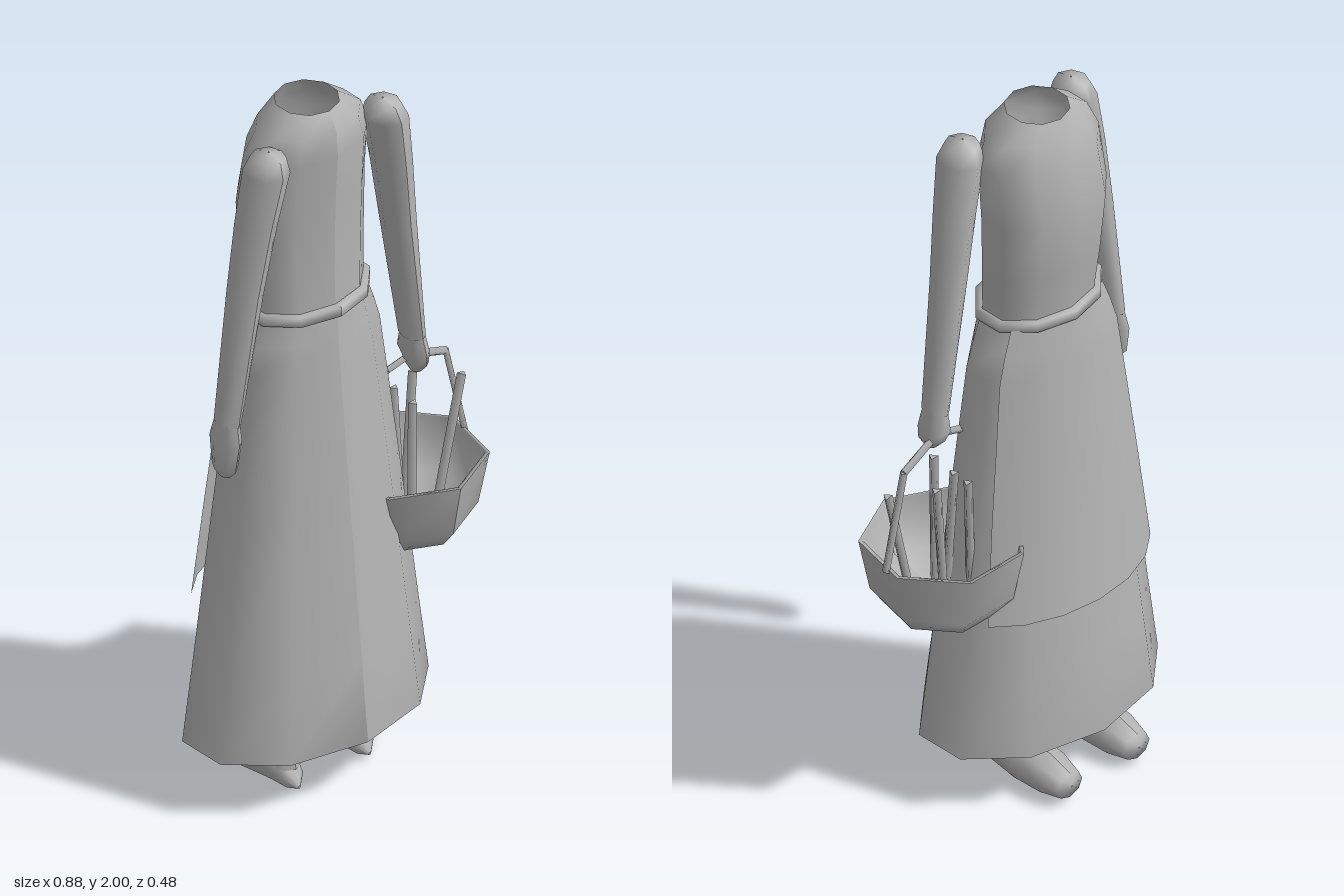
import * as THREE from 'three';

export function createModel() {
  const model = new THREE.Group();
  const grey = new THREE.MeshStandardMaterial({ color: 0xb4b4b4, side: THREE.DoubleSide });
  grey.name = 'plain grey';
  const CX = -0.09; // middle of the body

  function add(name, geometry, parent = model) {
    const mesh = new THREE.Mesh(geometry, grey);
    mesh.name = name;
    parent.add(mesh);
    return mesh;
  }

  // Smooth skin over elliptical rings [y, centre x, radius x, centre z, radius z], bottom to top
  function loft(rings, sides, from = 0, to = Math.PI * 2) {
    const pos = [], index = [], w = sides + 1;
    rings.forEach(([y, cx, rx, cz, rz], j) => {
      for (let i = 0; i <= sides; i++) {
        const t = from + (to - from) * i / sides;
        pos.push(cx + rx * Math.sin(t), y, cz + rz * Math.cos(t));
        if (i < sides && j < rings.length - 1) {
          const a = j * w + i, b = a + 1, c = a + w, d = c + 1;
          index.push(a, b, d, a, d, c);
        }
      }
    });
    const g = new THREE.BufferGeometry();
    g.setAttribute('position', new THREE.Float32BufferAttribute(pos, 3));
    g.setIndex(index);
    g.computeVertexNormals();
    return g;
  }

  // Straight rod between two points
  function rod(name, a, b, r, sides, parent) {
    const p = new THREE.Vector3(...a), q = new THREE.Vector3(...b);
    const mesh = add(name, new THREE.CylinderGeometry(r, r, p.distanceTo(q), sides), parent);
    mesh.position.copy(p).add(q).multiplyScalar(0.5);
    mesh.quaternion.setFromUnitVectors(new THREE.Vector3(0, 1, 0), q.sub(p).normalize());
  }

  // Bodice, open at the neck
  add('bodice', loft([
    [1.40, CX, 0.172, 0, 0.115],
    [1.56, CX, 0.182, -0.012, 0.125],
    [1.73, CX, 0.19, -0.02, 0.135],
    [1.88, CX, 0.185, 0, 0.125],
    [1.95, CX, 0.155, 0.01, 0.11],
    [2.00, CX, 0.084, 0.005, 0.085],
  ], 10));

  // Skirt with a hem turned inwards
  add('skirt', loft([
    [0.24, CX, 0.335, 0, 0.215],
    [0.17, CX, 0.368, 0, 0.24],
    [0.40, CX, 0.338, 0, 0.217],
    [0.85, CX, 0.282, 0, 0.172],
    [1.27, CX, 0.226, 0, 0.132],
    [1.34, CX, 0.204, 0, 0.126],
    [1.41, CX, 0.178, 0, 0.12],
  ], 10));

  // Waistband
  add('belt', loft([
    [1.405, CX, 0.175, 0, 0.122],
    [1.405, CX, 0.19, 0, 0.139],
    [1.432, CX, 0.19, 0, 0.139],
    [1.432, CX, 0.172, 0, 0.117],
  ], 10));

  // Apron over the face of the skirt
  add('apron', loft([
    [0.57, CX, 0.332, 0, 0.222],
    [0.85, CX, 0.298, 0, 0.189],
    [1.27, CX, 0.240, 0, 0.146],
    [1.34, CX, 0.216, 0, 0.138],
    [1.41, CX, 0.186, 0, 0.13],
  ], 6, Math.PI * 2 / 3, Math.PI * 4 / 3));

  for (const s of [-1, 1]) {
    const side = s > 0 ? 'left' : 'right';

    // Sleeve, leaning out to the wrist
    add(side + 'Arm', loft([
      [1.17, CX + s * 0.312, 0.02, 0.055, 0.025],
      [1.18, CX + s * 0.311, 0.028, 0.055, 0.043],
      [1.55, CX + s * 0.258, 0.045, 0.062, 0.05],
      [1.75, CX + s * 0.228, 0.052, 0.07, 0.058],
      [1.90, CX + s * 0.200, 0.058, 0.078, 0.064],
      [1.94, CX + s * 0.194, 0.045, 0.078, 0.048],
      [1.953, CX + s * 0.192, 0.002, 0.078, 0.002],
    ], 8));

    // The left hand is closed round the handle, the right hangs open
    const low = s > 0 ? 1.07 : 1.025;
    add(side + 'Hand', loft([
      [low, CX + s * 0.32, 0.014, 0.06, 0.016],
      [low + 0.025, CX + s * 0.322, 0.028, 0.058, 0.04],
      [1.13, CX + s * 0.316, 0.033, 0.055, 0.052],
      [1.20, CX + s * 0.311, 0.024, 0.055, 0.036],
    ], 7));

    // Leg
    const x = CX + s * 0.119;
    add(side + 'Leg', loft([
      [0.07, x, 0.036, 0.06, 0.04],
      [0.18, x, 0.04, 0.035, 0.04],
      [0.50, x, 0.048, 0.03, 0.048],
      [1.00, x, 0.055, 0.02, 0.055],
    ], 7));

    // Shoe, lofted from heel to toe and laid down
    const shoe = loft([
      [-0.112, x, 0.004, 0.022, 0.004],
      [-0.09, x, 0.032, 0.045, 0.034],
      [-0.03, x, 0.046, 0.069, 0.06],
      [0.08, x, 0.063, 0.066, 0.063],
      [0.17, x, 0.06, 0.061, 0.055],
      [0.235, x, 0.044, 0.056, 0.038],
      [0.243, x, 0.002, 0.056, 0.002],
    ], 8);
    shoe.rotateX(-Math.PI / 2);
    add(side + 'Shoe', shoe);
  }

  // Basket with a thin rim and an inner wall
  const basket = new THREE.Group();
  basket.name = 'basket';
  model.add(basket);
  const bx = 0.222, bz = 0.024;
  add('basketBowl', loft([
    [0.60, bx, 0.001, bz, 0.001],
    [0.60, bx, 0.15, bz, 0.15],
    [0.65, bx, 0.188, bz, 0.188],
    [0.80, bx, 0.217, bz, 0.217],
  ], 7), basket);
  add('basketLining', loft([
    [0.80, bx, 0.217, bz, 0.217],
    [0.80, bx, 0.206, bz, 0.206],
    [0.65, bx, 0.178, bz, 0.178],
    [0.615, bx, 0.001, bz, 0.001],
  ].reverse(), 7), basket);

  // Handle
  const arch = [
    [0.02, 0.79, 0.02], [0.08, 1.05, 0.03], [0.15, 1.09, 0.04],
    [0.225, 1.11, 0.045], [0.355, 1.06, 0.032], [0.425, 0.79, 0.025],
  ];
  for (let i = 1; i < arch.length; i++) rod('basketHandle', arch[i - 1], arch[i], 0.011, 4, basket);

  // Sticks standing in the basket, foot to tip
  const sticks = [
    [[0.19, 0.62, -0.04], [0.21, 1.00, -0.05]],
    [[0.26, 0.62, -0.015], [0.292, 1.00, -0.02]],
    [[0.31, 0.62, 0.05], [0.388, 0.99, 0.058]],
    [[0.21, 0.62, 0.03], [0.205, 1.00, 0.005]],
    [[0.20, 0.62, 0.08], [0.195, 1.00, 0.09]],
  ];
  for (const [a, b] of sticks) rod('stick', a, b, 0.014, 3, basket);

  return model;
}
